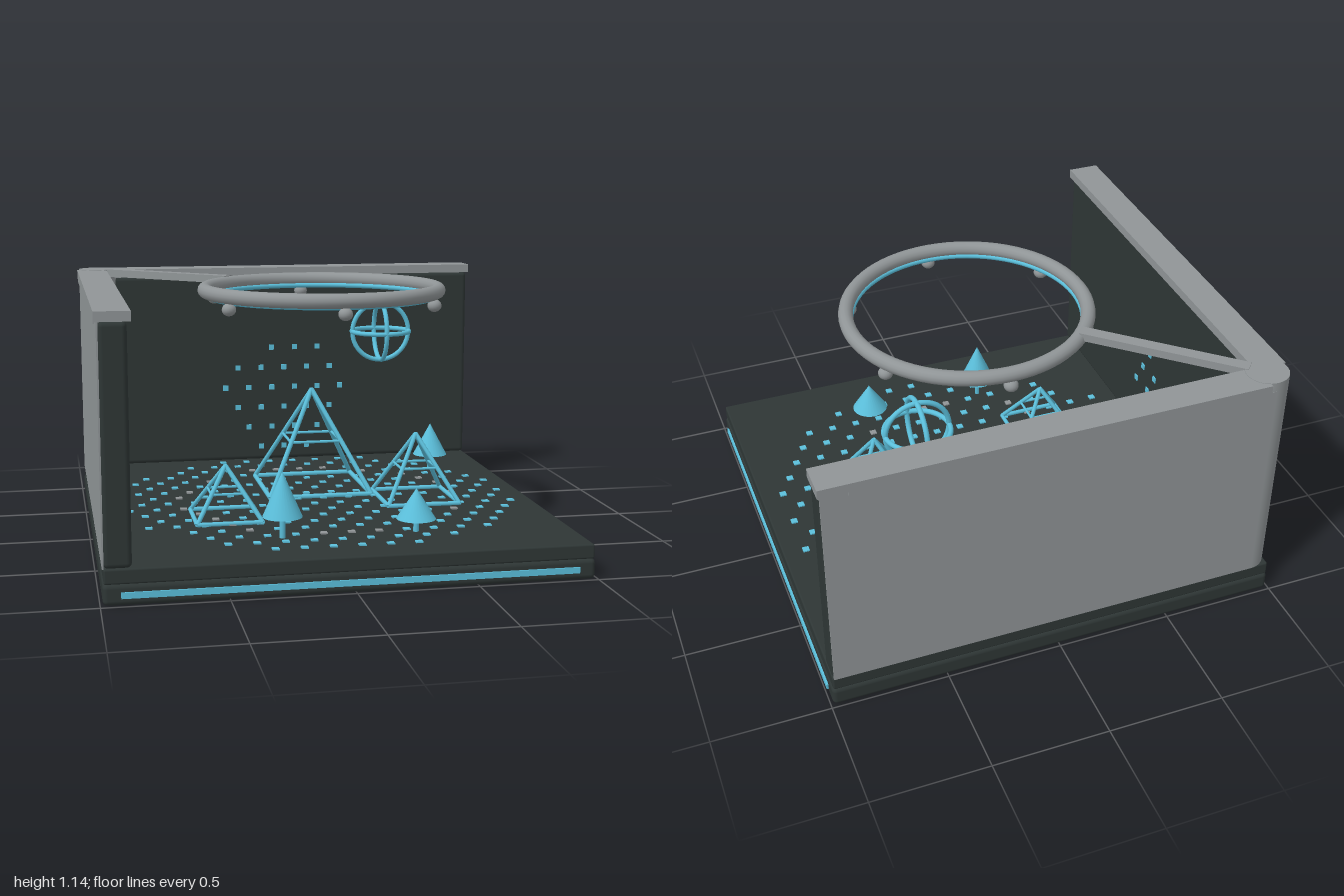
import * as THREE from 'three';
import { RoundedBoxGeometry } from 'three/addons/geometries/RoundedBoxGeometry.js';

const mat = (name, color) => Object.assign(new THREE.MeshStandardMaterial({ color }), { name });

export function createModel() {
  const root = new THREE.Group();
  root.name = 'cornerDiorama';
  const dark = mat('charcoal', 0x2e3635);
  const grey = mat('metalGrey', 0x909597);
  const cyan = mat('glowCyan', 0x5bbfdb);
  const FLOOR = 0.145;

  const add = (parent, name, geo, material, x = 0, y = 0, z = 0) => {
    const m = new THREE.Mesh(geo, material);
    m.name = name;
    m.position.set(x, y, z);
    parent.add(m);
    return m;
  };
  // Box given by its min and max corners, optionally rounded
  const box = (parent, name, material, a, b, r = 0) => {
    const s = a.map((v, i) => b[i] - v);
    const geo = r ? new RoundedBoxGeometry(...s, 3, r) : new THREE.BoxGeometry(...s);
    return add(parent, name, geo, material, ...a.map((v, i) => (v + b[i]) / 2));
  };
  // Round bar between two points
  const bar = (parent, name, a, b, r, material) => {
    const p = new THREE.Vector3(...a), d = new THREE.Vector3(...b).sub(p);
    const m = add(parent, name, new THREE.CylinderGeometry(r, r, d.length(), 8), material);
    m.position.copy(p).addScaledVector(d, 0.5);
    m.quaternion.setFromUnitVectors(new THREE.Vector3(0, 1, 0), d.normalize());
    return m;
  };
  const group = (name) => {
    const g = new THREE.Group();
    g.name = name;
    root.add(g);
    return g;
  };

  // Two-layer base with light strips on the open sides
  box(root, 'lowerBase', dark, [-0.99, 0, -0.99], [0.99, 0.086, 0.99], 0.02);
  box(root, 'upperBase', dark, [-0.985, 0.084, -0.985], [0.985, FLOOR, 0.985], 0.008);
  box(root, 'frontLightStrip', cyan, [-0.92, 0.03, 0.988], [0.92, 0.055, 0.997]);
  box(root, 'sideLightStrip', cyan, [0.99, 0.03, -0.92], [0.999, 0.055, 0.92]);

  // Back wall and left-hand wall: core, outer cladding, cap and trim
  box(root, 'backWall', dark, [-0.9, FLOOR, -0.985], [0.985, 1.09, -0.875], 0.02);
  box(root, 'sideWall', dark, [-0.985, FLOOR, -0.9], [-0.875, 1.09, 0.985], 0.02);
  box(root, 'backCladding', grey, [-0.9, FLOOR, -0.99], [0.98, 1.09, -0.983]);
  box(root, 'sideCladding', grey, [-0.99, FLOOR, -0.9], [-0.983, 1.09, 0.98]);
  box(root, 'backCap', grey, [-0.87, 1.09, -1], [0.99, 1.13, -0.86]);
  box(root, 'sideCap', grey, [-1, 1.09, -0.87], [-0.86, 1.13, 0.99]);
  box(root, 'backTrim', grey, [-0.87, 1.07, -0.997], [0.87, 1.09, -0.985]);
  box(root, 'sideTrim', grey, [-0.997, 1.07, -0.87], [-0.985, 1.09, 0.87]);
  add(root, 'cornerColumn', new THREE.CylinderGeometry(0.09, 0.09, 0.987, 40), grey, -0.9, 0.6385, -0.9);

  // Overhead ring on an arm, with a glow line and six lamps
  const ring = group('lightRing');
  const torus = (parent, name, R, r, material, x, y, z, seg = 72) =>
    add(parent, name, new THREE.TorusGeometry(R, r, 14, seg), material, x, y, z);
  torus(ring, 'ringTube', 0.52, 0.032, grey, 0.05, 1.1, 0).rotation.x = Math.PI / 2;
  torus(ring, 'ringGlow', 0.5, 0.012, cyan, 0.05, 1.072, 0).rotation.x = Math.PI / 2;
  for (let i = 0; i < 6; i++) {
    const a = Math.PI / 6 + i * Math.PI / 3;
    const x = 0.05 + 0.52 * Math.cos(a), z = 0.52 * Math.sin(a);
    add(ring, 'lamp', new THREE.SphereGeometry(0.031, 18, 12), grey, x, 1.045, z).scale.y = 0.9;
  }
  const from = new THREE.Vector2(-0.85, -0.85), to = new THREE.Vector2(-0.32, -0.37);
  const arm = add(ring, 'supportArm', new THREE.BoxGeometry(from.distanceTo(to), 0.035, 0.055), grey,
    (from.x + to.x) / 2, 1.118, (from.y + to.y) / 2);
  arm.rotation.y = -Math.atan2(to.y - from.y, to.x - from.x);

  // Wireframe pyramids: base square, half-height square and four edges
  const pyramid = (cx, cz, half, apex, r) => {
    const g = group('wirePyramid');
    const base = FLOOR + 0.008;
    const corner = (i, s, y) => [
      cx + half * s * (i === 0 || i === 3 ? 1 : -1), y, cz + half * s * (i < 2 ? 1 : -1)];
    for (let i = 0; i < 4; i++) {
      const j = (i + 1) % 4, mid = (base + apex) / 2;
      bar(g, 'baseBar', corner(i, 1, base), corner(j, 1, base), r, cyan);
      bar(g, 'middleBar', corner(i, 0.5, mid), corner(j, 0.5, mid), r * 0.6, cyan);
      bar(g, 'edgeBar', corner(i, 1, base), [cx, apex, cz], r, cyan);
    }
  };
  pyramid(0.05, -0.235, 0.235, 0.61, 0.011);
  pyramid(0.47, 0.085, 0.163, 0.445, 0.01);
  pyramid(-0.425, 0.28, 0.14, 0.375, 0.01);

  // Cone trees
  for (const [x, z, low, top] of [[0.705, -0.52, 0.215, 0.37], [-0.24, 0.655, 0.235, 0.425], [0.325, 0.655, 0.2, 0.33]]) {
    const g = group('tree');
    add(g, 'treeCone', new THREE.ConeGeometry(0.083, top - low, 28), cyan, x, (top + low) / 2, z);
    bar(g, 'trunk', [x, FLOOR, z], [x, low + 0.01, z], 0.012, cyan);
  }

  // Floating globe made of three hoops
  const globe = group('wireGlobe');
  for (const [rx, ry] of [[0, 0], [Math.PI / 2, 0], [0, Math.PI / 2]]) {
    torus(globe, 'globeHoop', 0.138, 0.011, cyan, 0.425, 0.85, -0.43, 40).rotation.set(rx, ry, 0);
  }

  // Staggered dot fields, kept inside a circle
  const dots = (name, u0, v0, cu, cv, R, size, place, isGrey) => {
    const g = group(name);
    const geo = new THREE.BoxGeometry(...size);
    for (let j = -9; j <= 9; j++) {
      for (let i = -9; i <= 9; i++) {
        const u = u0 + 0.118 * (i + (j & 1 ? 0.5 : 0)), v = v0 + 0.102 * j;
        const d = Math.hypot(u - cu, v - cv);
        if (d < R) add(g, 'dot', geo, isGrey(d) ? grey : cyan, ...place(u, v));
      }
    }
  };
  dots('floorDots', 0.058, 0.007, 0.03, -0.005, 0.902, [0.029, 0.008, 0.029],
    (u, v) => [u, FLOOR + 0.002, v], (d) => Math.abs(d - 0.62) < 0.03);
  dots('backWallDots', 0.086, 0.52, 0.03, 0.47, 0.31, [0.026, 0.026, 0.008],
    (u, v) => [u - (Math.round((v - 0.52) / 0.102) & 1 ? 0 : 0.004), v, -0.873], () => false);
  dots('sideWallDots', 0.03, 0.42, 0, 0.42, 0.21, [0.008, 0.026, 0.026],
    (u, v) => [-0.873, v, u], () => false);

  return root;
}
